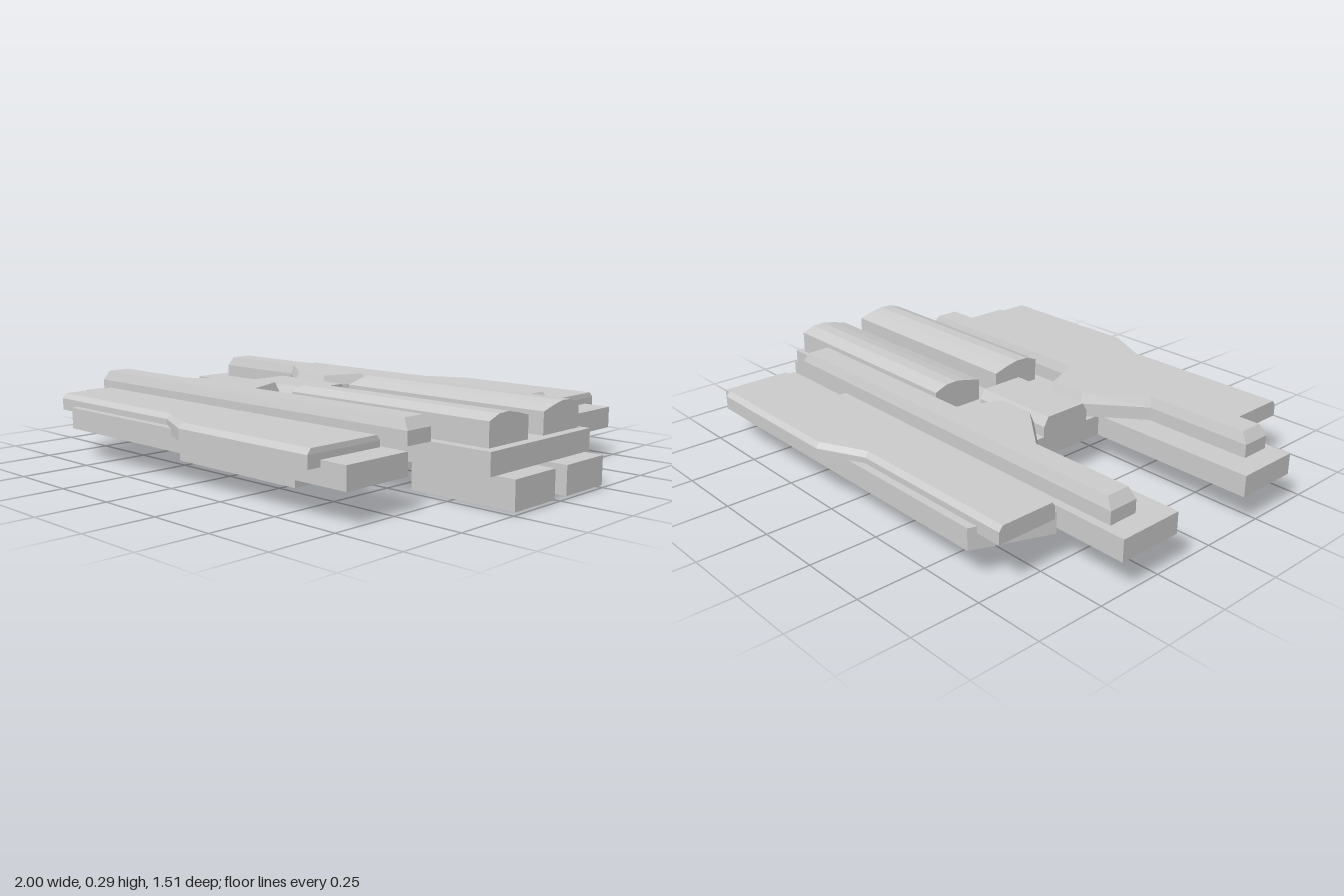
import * as THREE from 'three';

const material = new THREE.MeshStandardMaterial({
  color: 0xcccccc, flatShading: true, side: THREE.DoubleSide,
});

// Stacks plan outlines ([x, z] corners) at rising heights and caps both ends.
function loft(name, levels, side = 1) {
  const rings = levels.map(([y, outline]) => {
    const ring = outline.map(([x, z]) => new THREE.Vector3(x, y, z * side));
    return ring;
  });
  const flat = (ring) => ring.map((p) => new THREE.Vector2(p.x, p.z));
  if (THREE.ShapeUtils.isClockWise(flat(rings[0]))) rings.forEach((r) => r.reverse());
  const points = [];
  for (let k = 0; k + 1 < rings.length; k++) {
    const low = rings[k], high = rings[k + 1];
    for (let i = 0; i < low.length; i++) {
      const j = (i + 1) % low.length;
      points.push(low[i], high[j], low[j], low[i], high[i], high[j]);
    }
  }
  const top = rings[rings.length - 1];
  for (const [a, b, c] of THREE.ShapeUtils.triangulateShape(flat(rings[0]), [])) {
    points.push(rings[0][a], rings[0][b], rings[0][c]);
  }
  for (const [a, b, c] of THREE.ShapeUtils.triangulateShape(flat(top), [])) {
    points.push(top[a], top[c], top[b]);
  }
  const geometry = new THREE.BufferGeometry().setFromPoints(points);
  geometry.computeVertexNormals();
  return named(name, geometry);
}

function named(name, geometry) {
  const mesh = new THREE.Mesh(geometry, material);
  mesh.name = name;
  return mesh;
}

function box(name, x0, x1, y0, y1, z0, z1) {
  const geometry = new THREE.BoxGeometry(x1 - x0, y1 - y0, z1 - z0);
  geometry.translate((x0 + x1) / 2, (y0 + y1) / 2, (z0 + z1) / 2);
  return named(name, geometry);
}

// Extrudes a [z, y] cross-section along x.
function beam(name, x0, x1, section) {
  const shape = new THREE.Shape(section.map(([z, y]) => new THREE.Vector2(-z, y)));
  const geometry = new THREE.ExtrudeGeometry(shape, { depth: x1 - x0, bevelEnabled: false });
  geometry.rotateY(Math.PI / 2).translate(x0, 0, 0);
  return named(name, geometry);
}

export function createModel() {
  const model = new THREE.Group();
  model.name = 'spacecraft';

  // Flat main hull with two forward prongs
  const half = [[-0.36, 0.17], [-1, 0.17], [-1, 0.415], [0.42, 0.415], [0.42, 0.275], [0.93, 0.275]];
  const hull = [...half, ...half.map(([x, z]) => [x, -z]).reverse()];
  model.add(loft('hull', [[0.11, hull], [0.187, hull]]));

  // Chamfered cabin in the middle
  model.add(beam('cabin', -0.36, -0.03, [
    [-0.105, 0.187], [-0.105, 0.225], [-0.085, 0.258],
    [0.085, 0.258], [0.105, 0.225], [0.105, 0.187],
  ]));

  // Prong ridge: base outline and inset top
  const ridge = [
    [-0.92, 0.385], [0.7, 0.385], [0.7, 0.273], [-0.095, 0.273],
    [-0.16, 0.117], [-0.32, 0.117], [-0.51, 0.273], [-0.92, 0.273],
  ];
  const ridgeTop = [
    [-0.895, 0.373], [0.677, 0.373], [0.677, 0.284], [-0.107, 0.284],
    [-0.17, 0.13], [-0.313, 0.13], [-0.503, 0.284], [-0.895, 0.284],
  ];

  // Wing panel that widens toward the rear
  const panel = [
    [-0.757, 0.45], [0.647, 0.45], [0.647, 0.757],
    [0.055, 0.757], [-0.11, 0.677], [-0.757, 0.677],
  ];
  const panelTop = [
    [-0.757, 0.462], [0.645, 0.462], [0.645, 0.742],
    [0.06, 0.742], [-0.107, 0.662], [-0.757, 0.662],
  ];

  // Wing slab with a slanted leading end
  const slab = [[-0.755, 0.44], [0.75, 0.44], [0.75, 0.705], [-0.65, 0.705]];

  for (const side of [1, -1]) {
    const prefix = side > 0 ? 'left' : 'right';
    const group = new THREE.Group();
    group.name = prefix + 'Side';
    group.add(
      loft('prongRidge', [[0.187, ridge], [0.235, ridge], [0.272, ridgeTop]], side),
      loft('wingSlab', [[0.11, slab], [0.187, slab]], side),
      loft('wingPanel', [[0.165, panel], [0.208, panel], [0.226, panelTop]], side),
    );

    // Keel joining the wing to the hull, and the rear thruster
    const [k0, k1] = side > 0 ? [0.38, 0.463] : [-0.463, -0.38];
    group.add(box('keel', -0.325, 0.285, 0, 0.16, k0, k1));
    const [t0, t1] = side > 0 ? [0.033, 0.245] : [-0.245, -0.033];
    group.add(box('thruster', 0.6, 1, 0.01, 0.11, t0, t1));

    // Rounded engine housing on the rear deck
    const inner = side > 0 ? 0.033 : 0.052;
    const section = [[0, 0.187], [0, 0.265], [0.06, 0.281], [0.108, 0.29],
      [0.156, 0.288], [0.205, 0.27], [0.205, 0.187]];
    group.add(beam('engineHousing', 0.038, 0.895,
      section.map(([z, y]) => [side * (inner + z), y])));
    model.add(group);
  }
  return model;
}
